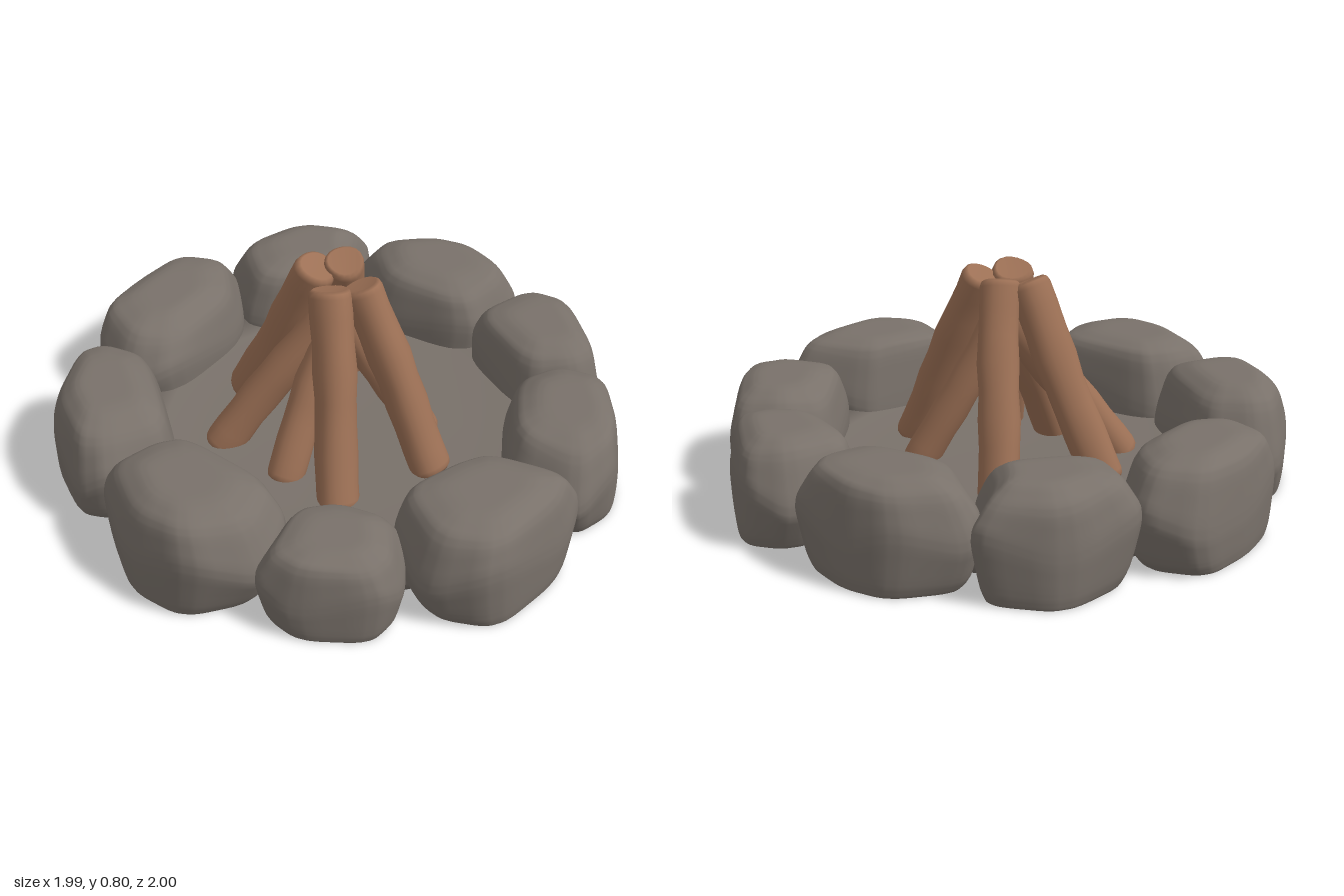
import * as THREE from 'three';
import { mergeVertices } from 'three/addons/utils/BufferGeometryUtils.js';

const stone = new THREE.MeshStandardMaterial({ color: 0x79716a });
stone.name = 'stone grey';
const wood = new THREE.MeshStandardMaterial({ color: 0x9c7055 });
wood.name = 'log brown';

// Small seeded random generator, -1..1
function seeded(seed) {
  let s = seed * 7919 + 17;
  return () => {
    s = (s * 16807) % 2147483647;
    return (s / 2147483647) * 2 - 1;
  };
}

// Corner cutting that rounds a row of points
function cutCorners(points, closed) {
  const out = closed ? [] : [points[0]];
  const n = points.length;
  for (let i = 0; i < (closed ? n : n - 1); i++) {
    const a = points[i], b = points[(i + 1) % n];
    out.push(a.clone().lerp(b, 0.18), a.clone().lerp(b, 0.82));
  }
  if (!closed) out.push(points[n - 1]);
  return out;
}

// Smooth skin over stacked rings of equal length, bottom to top
function skin(rings) {
  const n = rings[0].length;
  const index = [];
  for (let i = 0; i < rings.length - 1; i++) {
    for (let k = 0; k < n; k++) {
      const a = i * n + k, b = i * n + (k + 1) % n;
      index.push(a, a + n, b, b, a + n, b + n);
    }
  }
  let g = new THREE.BufferGeometry().setFromPoints(rings.flat());
  g.setIndex(index);
  g = mergeVertices(g, 1e-5);
  g.computeVertexNormals();
  return g;
}

// Boulder levels as [height, scale outwards, scale along the ring, roughness]
const levels = [
  [0, 0, 0, 0], [0, 0.92, 0.78, 0], [0, 0.97, 0.83, 0], [0.12, 1.0, 0.92, 0.3],
  [0.5, 1.0, 1.05, 0.7], [0.9, 0.85, 0.8, 1], [1, 0.5, 0.48, 0], [1, 0, 0, 0],
];

// Boulder: an outline in plan scaled through the levels, the belt zigzagging into facets
function boulder(outline, height, seed) {
  const rand = seeded(seed);
  const points = outline.map(([x, z]) => new THREE.Vector3(x, 0, z));
  const centre = new THREE.Vector3();
  points.forEach((p) => centre.addScaledVector(p, 1 / points.length));
  const outward = centre.clone().normalize();
  const along = new THREE.Vector3(-outward.z, 0, outward.x);
  let net = levels.map(([y, sOut, sAlong, rough], i) => points.map((p, k) => {
    const offset = p.clone().sub(centre);
    const wobble = 1.02 + rand() * 0.04 * rough;
    const zigzag = i === 4 ? (k % 2 ? 0.15 : -0.13) : 0;
    const v = centre.clone()
      .addScaledVector(outward, offset.dot(outward) * sOut * wobble)
      .addScaledVector(along, offset.dot(along) * sAlong * wobble);
    v.y = Math.min(y + zigzag + rand() * 0.06 * rough, 1) * height;
    return v;
  }));
  for (let pass = 0; pass < 3; pass++) {
    net = net.map((ring) => cutCorners(ring, true));
    const columns = net[0].map((_, k) => cutCorners(net.map((r) => r[k]), false));
    net = columns[0].map((_, i) => columns.map((c) => c[i]));
  }
  return new THREE.Mesh(skin(net), stone);
}

// Log: a slightly knobbly round bar with softened ends
function log(from, to, radius, seed) {
  const rand = seeded(seed);
  const a = new THREE.Vector3(...from), b = new THREE.Vector3(...to);
  const length = a.distanceTo(b);
  const profile = [[0, 0], [0, 0.8], [0.012, 0.95], [0.03, 1]];
  for (let i = 1; i < 8; i++) profile.push([length * i / 8, 1 + rand() * 0.05]);
  profile.push([length - 0.025, 1], [length - 0.008, 0.93], [length, 0.78], [length - 0.02, 0]);
  const phase = rand() * 3;
  const rings = profile.map(([y, s]) => {
    const ring = [];
    const sway = Math.sin(y * 9 + phase) * 0.005;
    for (let k = 0; k < 20; k++) {
      const t = k / 20 * Math.PI * 2;
      const r = radius * s * (1 + 0.04 * Math.sin(3 * t + phase + y * 4));
      ring.push(new THREE.Vector3(Math.cos(t) * r + sway, y, Math.sin(t) * r));
    }
    return ring;
  });
  const mesh = new THREE.Mesh(skin(rings), wood);
  mesh.position.copy(a);
  mesh.quaternion.setFromUnitVectors(new THREE.Vector3(0, 1, 0), b.sub(a).normalize());
  return mesh;
}

// Boulder heights and plan outlines as x, z corners
const boulders = [
  [0.37, [[-0.42, -0.82], [-0.25, -0.98], [-0.05, -1.0], [0.16, -0.94], [0.22, -0.84], [0.15, -0.61], [-0.24, -0.57], [-0.41, -0.73]]],
  [0.36, [[0.22, -0.9], [0.4, -0.95], [0.7, -0.68], [0.66, -0.56], [0.5, -0.44], [0.14, -0.62]]],
  [0.365, [[0.55, -0.57], [0.74, -0.63], [0.93, -0.4], [0.99, -0.24], [0.95, -0.05], [0.66, -0.05], [0.46, -0.4]]],
  [0.385, [[0.64, 0.0], [0.95, -0.06], [1.0, 0.1], [0.94, 0.45], [0.73, 0.56], [0.49, 0.4], [0.57, 0.15]]],
  [0.32, [[0.33, 0.46], [0.54, 0.39], [0.68, 0.58], [0.66, 0.71], [0.43, 0.86], [0.27, 0.85], [0.22, 0.6]]],
  [0.39, [[-0.25, 0.54], [0.21, 0.57], [0.28, 0.8], [0.11, 0.99], [-0.15, 0.99], [-0.39, 0.83], [-0.34, 0.65]]],
  [0.39, [[-0.83, 0.3], [-0.65, 0.25], [-0.26, 0.56], [-0.39, 0.8], [-0.5, 0.84], [-0.77, 0.67], [-0.89, 0.4]]],
  [0.37, [[-0.97, -0.32], [-0.78, -0.4], [-0.59, -0.2], [-0.59, 0.2], [-0.74, 0.32], [-0.97, 0.2], [-1.0, -0.05]]],
  [0.38, [[-0.74, -0.74], [-0.47, -0.87], [-0.4, -0.72], [-0.27, -0.57], [-0.59, -0.25], [-0.82, -0.42]]],
];

// Logs as base, top, radius
const logs = [
  [[-0.41, 0.1, 0.0], [-0.09, 0.77, -0.01], 0.074],
  [[0.4, 0.1, -0.01], [0.09, 0.77, -0.01], 0.074],
  [[0.23, 0.08, 0.32], [0.03, 0.78, 0.08], 0.074],
  [[-0.2, 0.08, -0.33], [-0.03, 0.78, -0.08], 0.07],
  [[-0.31, 0.08, 0.3], [-0.01, 0.64, 0.0], 0.07],
  [[-0.01, 0.08, 0.32], [0.0, 0.6, 0.03], 0.066],
  [[0.24, 0.08, -0.2], [0.0, 0.64, 0.0], 0.062],
];

export function createModel() {
  const model = new THREE.Group();
  model.name = 'campfire';

  // Ash bed: shallow dish with a flat underside
  const bed = [[0, 0.001], [0.75, 0.001], [0.75, 0.14], [0.62, 0.13], [0.45, 0.115], [0, 0.11]];
  const floor = new THREE.Mesh(
    new THREE.LatheGeometry(bed.map(([x, y]) => new THREE.Vector2(x, y)), 40), stone);
  floor.name = 'fireBed';
  model.add(floor);

  // Ring of boulders
  const ring = new THREE.Group();
  ring.name = 'stoneRing';
  boulders.forEach(([height, outline], i) => {
    const mesh = boulder(outline, height, i + 3);
    mesh.name = 'boulder' + (i + 1);
    ring.add(mesh);
  });
  model.add(ring);

  // Leaning pile of logs
  const pile = new THREE.Group();
  pile.name = 'logPile';
  logs.forEach(([from, to, radius], i) => {
    const mesh = log(from, to, radius, i + 5);
    mesh.name = 'log' + (i + 1);
    pile.add(mesh);
  });
  model.add(pile);
  return model;
}
